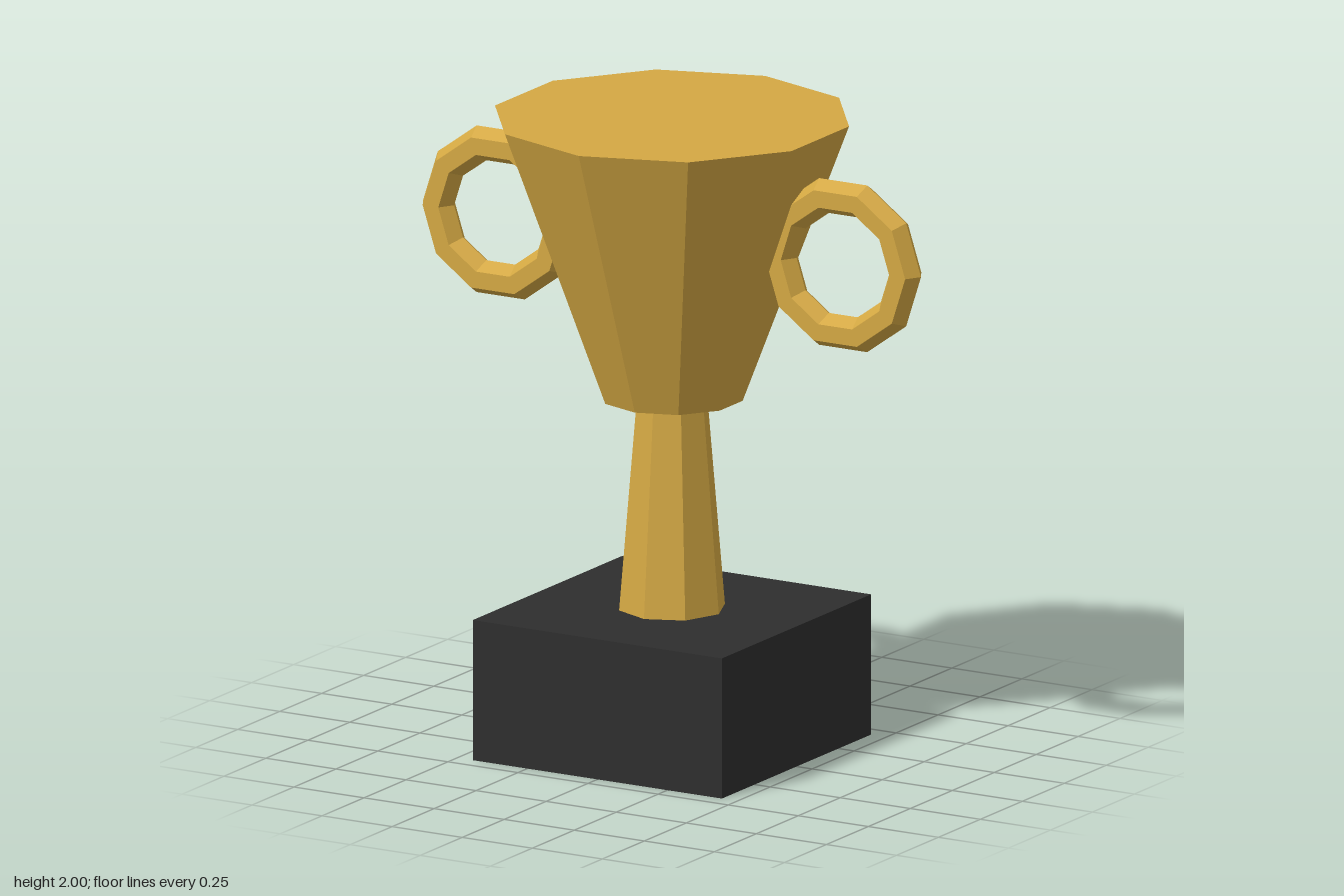
import * as THREE from 'three';

export function createModel() {
  const group = new THREE.Group();
  const gold = new THREE.MeshStandardMaterial({ name: 'gold', color: 0xd4a843, flatShading: true });
  const black = new THREE.MeshStandardMaterial({ name: 'black', color: 0x2e2e2e, flatShading: true });

  const add = (name, geometry, material, x, y) => {
    const mesh = new THREE.Mesh(geometry, material);
    mesh.name = name;
    mesh.position.set(x, y, 0);
    group.add(mesh);
  };

  // Square plinth
  add('base', new THREE.BoxGeometry(0.889, 0.444, 0.889), black, 0, 0.222);

  // Tapered eight-sided stem
  add('stem', new THREE.CylinderGeometry(0.111, 0.167, 0.667, 8), gold, 0, 0.778);

  // Ten-sided closed cup
  add('cup', new THREE.CylinderGeometry(0.556, 0.222, 0.889, 10), gold, 0, 1.5555);

  // Ring handles, sunk into the cup wall on both sides
  for (const [name, side] of [['leftHandle', 1], ['rightHandle', -1]]) {
    add(name, new THREE.TorusGeometry(0.222, 0.0556, 6, 10), gold, side * 0.611, 1.611);
  }

  return group;
}
